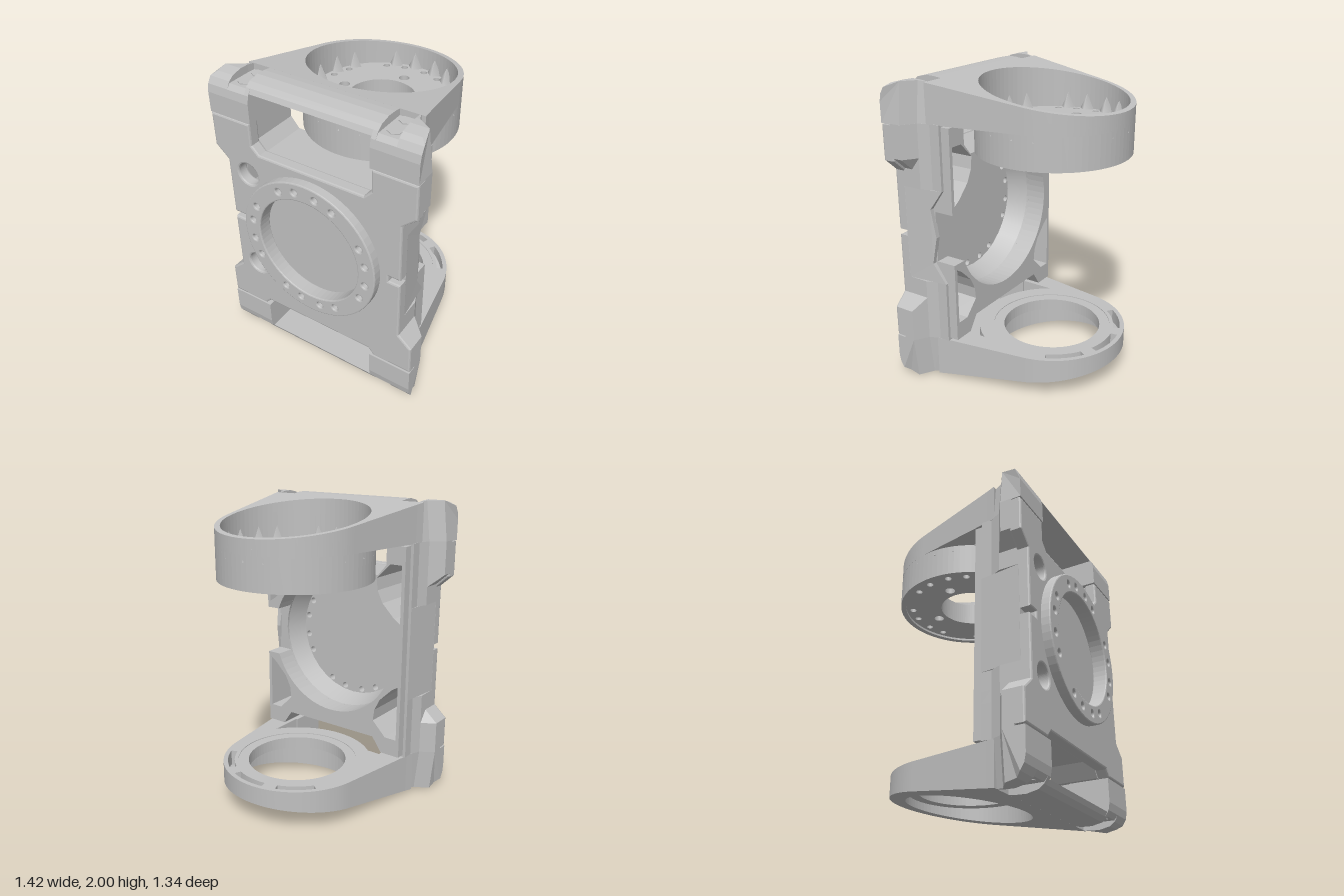
import * as THREE from 'three';

const CY = 1.01;        // centre height of the front flange
const RS = 0.17;        // arm ring centre, as -z
const topY = z => 2 - 0.15 * (0.42 - z);   // sloping outer face of the upper arm

// Half width of the bracket corners, flaring towards the front
const flare = z => z < 0.41
  ? 0.59 + 0.03 * Math.max(0, (z - 0.34) / 0.07)
  : 0.62 + 0.09 * Math.min(1, (z - 0.41) / 0.06);

export function createModel() {
  const model = new THREE.Group();
  const metal = new THREE.MeshStandardMaterial({ color: 0xc0c0c0 });
  metal.name = 'grey metal';

  const add = (name, geo, parent = model) => {
    const m = new THREE.Mesh(geo, metal);
    m.name = name;
    parent.add(m);
  };
  const poly = pts => new THREE.Shape(pts.map(p => new THREE.Vector2(p[0], p[1])));
  const disc = (x, y, r) => new THREE.Shape().absarc(x, y, r, 0, Math.PI * 2, false);
  const mirrorX = pts => pts.map(([x, y]) => [-x, y]);
  const mirrorY = pts => pts.map(([x, y]) => [x, 2.03 - y]);

  // Extrude along z, with an optional edge bevel
  const alongZ = (shape, z0, z1, b = 0) => new THREE.ExtrudeGeometry(shape, {
    depth: z1 - z0 - 2 * b, curveSegments: 32, bevelEnabled: b > 0,
    bevelSize: b, bevelThickness: b, bevelOffset: -b, bevelSegments: 2,
  }).translate(0, 0, z0 + b);

  // Extrude an (x, -z) outline upward between two height rules
  const alongY = (shape, low, high) => {
    const g = new THREE.ExtrudeGeometry(shape, { depth: 1, curveSegments: 40, bevelEnabled: false }).rotateX(-Math.PI / 2);
    const p = g.attributes.position;
    for (let i = 0; i < p.count; i++) {
      const f = p.getY(i) > 0.5 ? high : low;
      p.setY(i, typeof f === 'number' ? f : f(p.getZ(i)));
    }
    g.computeVertexNormals();
    return g;
  };

  // Extrude a (z, y) profile along x
  const alongX = (pts, x0, x1) => new THREE.ExtrudeGeometry(poly(pts.map(([z, y]) => [-z, y])),
    { depth: x1 - x0, bevelEnabled: false }).rotateY(Math.PI / 2).translate(x0, 0, 0);

  // Pull vertices inside the corner flare, less an optional chamfer by height
  const trim = (g, chamfer = () => 0) => {
    const p = g.attributes.position;
    for (let i = 0; i < p.count; i++) {
      const x = p.getX(i), w = flare(p.getZ(i)) - chamfer(p.getY(i));
      p.setX(i, Math.sign(x) * Math.min(Math.abs(x), w));
    }
    g.computeVertexNormals();
    return g;
  };

  // Sixteen bolt holes in four groups of four
  const boltAngles = [];
  for (let q = 0; q < 4; q++) for (const d of [-27, -10, 10, 27]) boltAngles.push((q * 90 + d) * Math.PI / 180);
  const punchBolts = (shape, cy) => {
    for (const a of boltAngles) shape.holes.push(disc(0.42 * Math.cos(a), cy + 0.42 * Math.sin(a), 0.022));
    return shape;
  };

  // ---- Front plate ----
  const half = [[0.40, 0.34], [0.44, 0.295], [0.71, 0.295], [0.71, 0.50], [0.62, 0.58], [0.62, 0.99], [0.54, 0.99],
    [0.54, 1.03], [0.62, 1.03], [0.62, 1.43], [0.71, 1.51], [0.71, 1.735], [0.42, 1.735], [0.42, 1.59], [0.37, 1.54]];
  const plate = poly([...half, ...mirrorX(half).reverse()]);
  plate.holes.push(disc(0, CY, 0.45), disc(-0.47, 1.37, 0.075), disc(-0.47, 0.65, 0.075));
  add('frontPlate', alongZ(plate, 0.53, 0.61, 0.012));

  // Raised bolt flange with a recessed disc in its middle
  const flange = punchBolts(disc(0, CY, 0.485), CY);
  flange.holes.push(disc(0, CY, 0.365));
  add('frontFlange', alongZ(flange, 0.57, 0.67, 0.008));
  add('flangeDisc', alongZ(punchBolts(disc(0, CY, 0.503), CY), 0.50, 0.575));

  // Back frame: a round dish and four corner pockets, its rim open on the left side
  const bodyHalf = [[0.36, 0.40], [0.43, 0.30], [0.57, 0.30], [0.57, 1.73], [0.43, 1.73], [0.43, 1.60], [0.37, 1.53]];
  const pocket = [[0.546, 0.42], [0.546, 0.80], [0.50, 0.77], [0.41, 0.68], [0.37, 0.60], [0.36, 0.52], [0.46, 0.42]];
  const addPockets = s => {
    for (const p of [pocket, mirrorY(pocket)]) s.holes.push(poly(p), poly(mirrorX(p)));
    return s;
  };
  const body = addPockets(poly([...bodyHalf, ...mirrorX(bodyHalf).reverse()]));
  body.holes.push(disc(0, CY, 0.5));
  add('backFrame', alongZ(body, 0.345, 0.53));

  const gap = 0.35;   // half angle of the open part of the rim
  const rim = poly([[0.57, CY + 0.17], ...bodyHalf.slice(3), ...mirrorX(bodyHalf).reverse(), ...bodyHalf.slice(0, 3), [0.57, CY - 0.17]]);
  rim.lineTo(0.5 * Math.cos(gap), CY - 0.5 * Math.sin(gap));
  rim.absarc(0, CY, 0.5, -gap, gap, true);
  add('backRim', alongZ(addPockets(rim), 0.21, 0.345));

  // Sloping ring around the floor of the dish
  const dishSlope = new THREE.LatheGeometry([[0.448, 0.501], [0.50, 0.36]].map(p => new THREE.Vector2(...p)), 32)
    .rotateX(Math.PI / 2).translate(0, CY, 0);
  const open = metal.clone();
  open.name = 'grey metal open';
  open.side = THREE.DoubleSide;
  const slope = new THREE.Mesh(dishSlope, open);
  slope.name = 'dishSlope';
  model.add(slope);

  // Corner posts, in strips that follow the flare
  const post = [[0.55, 0.285], [0.71, 0.285], [0.71, 0.50], [0.62, 0.58], [0.62, 0.70], [0.55, 0.70]];
  const strips = [0.27, 0.34, 0.41, 0.47, 0.545];
  for (const p of [post, mirrorY(post)]) for (const q of [p, mirrorX(p)]) {
    for (let i = 0; i < 4; i++) add('cornerPost', trim(alongZ(poly(q), strips[i], strips[i + 1])));
  }
  // Left side wall is waisted, right side wall is straight
  const waist = [[0.545, 0.70], [0.545, 1.33], [0.27, 1.33], [0.36, 1.20], [0.33, 1.01], [0.36, 0.83], [0.27, 0.70]];
  add('leftWall', trim(alongX(waist, 0.56, 0.62)));
  add('rightWall', trim(alongX([[0.545, 0.70], [0.545, 1.33], [0.27, 1.33], [0.27, 0.70]], -0.62, -0.56)));

  // ---- Arm brackets, upper and lower ----
  const armOutline = notched => {
    const s = new THREE.Shape();
    s.moveTo(0.597, -0.36);
    s.lineTo(0.585, -0.30);
    s.absarc(0, RS, 0.5, 0.16, Math.PI - 0.16, false);
    s.lineTo(-0.585, -0.30);
    s.lineTo(-0.597, -0.36);
    if (notched) {
      s.lineTo(-0.42, -0.36);
      s.absarc(0, RS, 0.5, -Math.PI + 0.573, -0.573, false);
      s.lineTo(0.42, -0.36);
    }
    return s;
  };

  const makeBracket = (name, upper, inner, bore) => {
    const g = new THREE.Group();
    g.name = name;
    model.add(g);
    const Y = y => upper ? y : 2 - y;
    const skinOut = z => Y(topY(z)), skinIn = z => Y(topY(z) - 0.06);
    const between = (shape, a, b) => upper ? alongY(shape, a, b) : alongY(shape, b, a);

    const skin = armOutline(false);
    skin.holes.push(disc(0, RS, bore));
    add('armSkin', between(skin, skinIn, skinOut), g);

    const arms = armOutline(true);
    arms.holes.push(disc(0, RS, bore));
    if (!upper) for (const a of [0.45, 1.2, 1.95]) {   // shallow arc pockets around the back
      const slot = new THREE.Shape();
      slot.absarc(0, RS, 0.47, a, a + 0.55, false);
      slot.absarc(0, RS, 0.425, a + 0.55, a, true);
      arms.holes.push(slot);
    }
    add('armWalls', between(arms, Y(inner), skinIn), g);

    // Front lip bar and flared corner blocks with bolt slots
    const crown = [[0.60, 1.92], [0.575, 1.96], [0.54, 1.985], [0.47, 2.0]];
    const roof = [...crown, [0.41, 1.998], [0.34, 1.988]];
    const prof = (pts, cap = 9) => pts.map(([z, y]) => [z, Y(Math.min(y, cap))]);
    add('frontLip', alongX(prof([[0.34, 1.93], [0.59, 1.93], ...roof.slice(1)]), -0.42, 0.42), g);
    const block = [[0.34, inner], [0.61, inner], [0.61, 1.87], ...roof];
    const wedges = [
      [[0.34, inner], [0.41, inner], [0.41, 1.998], [0.34, 1.988]],
      [[0.41, inner], [0.47, inner], [0.47, 2.0], [0.41, 1.998]],
      [[0.47, inner], [0.61, inner], [0.61, 1.87], ...crown],
    ];
    for (const side of [1, -1]) {
      const slice = (pts, a, b) => side > 0 ? alongX(pts, a, b) : alongX(pts, -b, -a);
      add('cornerInner', slice(prof(block), 0.41, 0.44), g);
      add('boltSlot', slice(prof(block, 1.95), 0.44, 0.565), g);
      for (const w of wedges) {
        add('cornerOuter', trim(slice(prof(w), 0.565, 0.71), y => Y(y) > 1.97 ? 0.03 : 0), g);
      }
      for (const z of [0.39, 0.51]) {
        add('boltHead', new THREE.CylinderGeometry(0.045, 0.045, 0.02, 6).translate(side * 0.503, Y(1.945), z), g);
      }
    }
    return g;
  };

  // Upper bracket carries a deep cup with a bored, drilled floor
  const upper = makeBracket('upperBracket', true, 1.74, 0.465);
  const cup = disc(0, RS, 0.5);
  cup.holes.push(disc(0, RS, 0.465));
  add('cupWall', alongY(cup, 1.53, z => topY(z) - 0.06), upper);
  const floor = punchBolts(disc(0, RS, 0.468), RS);
  floor.holes.push(disc(0, RS, 0.215));
  for (let i = 0; i < 4; i++) {
    const a = i * Math.PI / 2;
    floor.holes.push(disc(0.28 * Math.cos(a), RS + 0.28 * Math.sin(a), 0.034));
  }
  add('cupFloor', alongY(floor, 1.545, 1.70), upper);
  for (const a of boltAngles) {
    add('cupGusset', new THREE.ConeGeometry(0.05, 0.1, 4)
      .translate(0.455 * Math.cos(a + 0.14), 1.75, -RS + 0.455 * Math.sin(a + 0.14)), upper);
  }

  // Lower bracket is an open ring with an inner lip
  const lower = makeBracket('lowerBracket', false, 1.715, 0.4);
  const lip = disc(0, RS, 0.402);
  lip.holes.push(disc(0, RS, 0.33));
  add('ringLip', alongY(lip, 0.2, 0.28), lower);

  return model;
}
